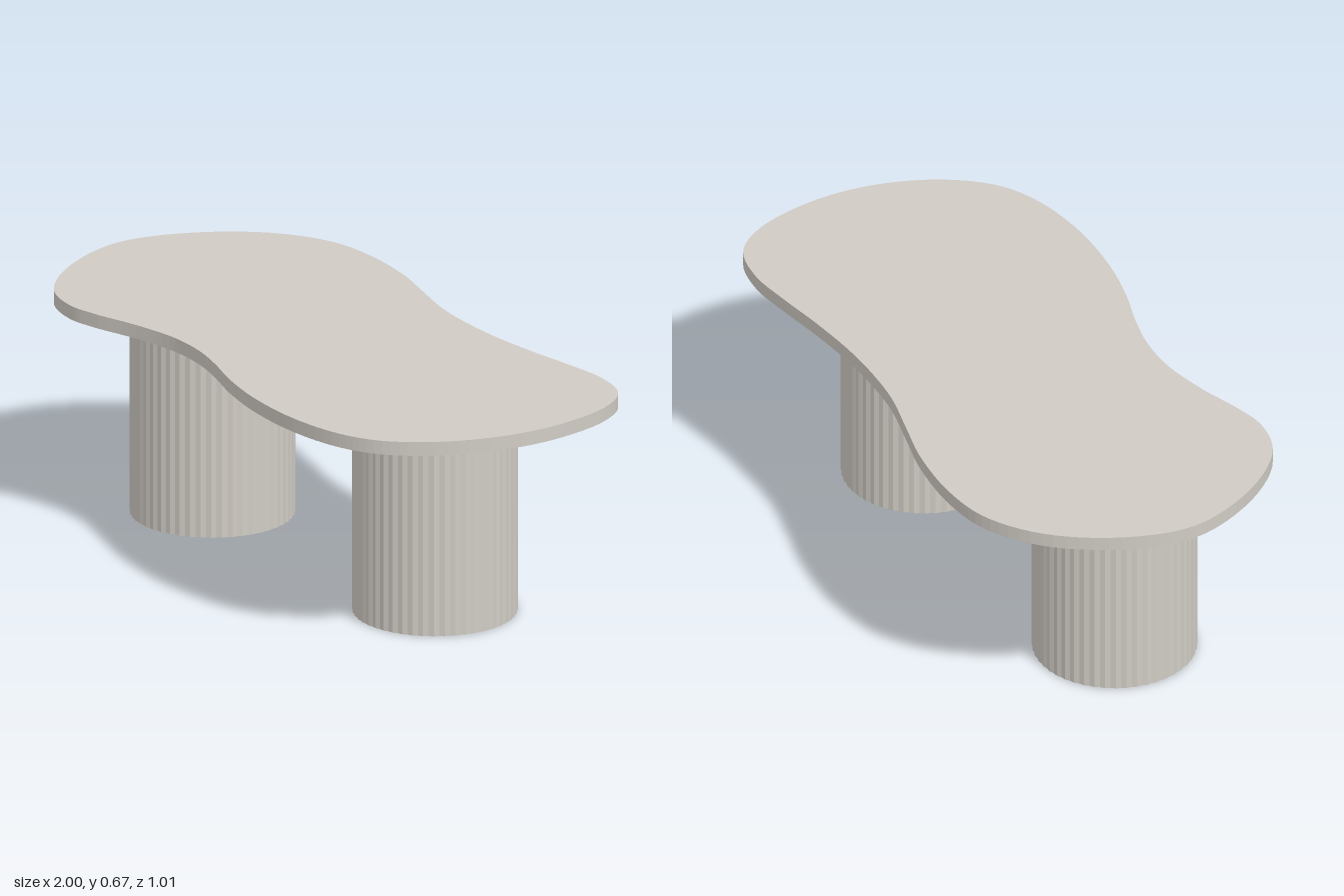
import * as THREE from 'three';

const TOP_Y = 0.668, THICKNESS = 0.041;

// Freeform table top outline as [x, z]
const OUTLINE = [
  [-1, 0], [-0.95, -0.2], [-0.82, -0.385], [-0.66, -0.485], [-0.5, -0.507], [-0.3, -0.485],
  [-0.15, -0.443], [0, -0.4], [0.13, -0.381], [0.28, -0.374], [0.45, -0.382], [0.6, -0.397],
  [0.75, -0.404], [0.88, -0.366], [0.96, -0.255], [1, -0.04], [0.975, 0.15], [0.9, 0.315],
  [0.8, 0.425], [0.68, 0.48], [0.5, 0.503], [0.3, 0.488], [0.13, 0.448], [0, 0.402],
  [-0.12, 0.37], [-0.25, 0.36], [-0.4, 0.381], [-0.55, 0.419], [-0.65, 0.43], [-0.78, 0.389],
  [-0.92, 0.23],
];

function tableTop(material) {
  const curve = new THREE.CatmullRomCurve3(
    OUTLINE.map(([x, z]) => new THREE.Vector3(x, -z, 0)), true, 'centripetal');
  const points = curve.getPoints(180).slice(0, -1).map(p => new THREE.Vector2(p.x, p.y));
  const geometry = new THREE.ExtrudeGeometry(new THREE.Shape(points.reverse()),
    { depth: THICKNESS, bevelEnabled: false });
  geometry.rotateX(-Math.PI / 2).translate(0, TOP_Y - THICKNESS, 0);
  const mesh = new THREE.Mesh(geometry, material);
  mesh.name = 'tableTop';
  return mesh;
}

// Round drum leg with very shallow vertical flutes
function fluteLeg(name, x, material) {
  const ridges = 48, points = [];
  for (let i = 0; i < ridges * 2; i++) {
    const a = (i / (ridges * 2)) * Math.PI * 2;
    const r = i % 2 ? 0.232 : 0.235;
    points.push(new THREE.Vector2(Math.cos(a) * r, Math.sin(a) * r));
  }
  const geometry = new THREE.ExtrudeGeometry(new THREE.Shape(points),
    { depth: TOP_Y - THICKNESS, bevelEnabled: false });
  geometry.rotateX(-Math.PI / 2);
  const mesh = new THREE.Mesh(geometry, material);
  mesh.name = name;
  mesh.position.set(x, 0, 0.018);
  return mesh;
}

export function createModel() {
  const stone = new THREE.MeshStandardMaterial({ color: 0xd0cbc4 });
  stone.name = 'warm grey stone';
  const table = new THREE.Group();
  table.name = 'coffeeTable';
  table.add(tableTop(stone), fluteLeg('leftLeg', 0.527, stone), fluteLeg('rightLeg', -0.527, stone));
  return table;
}
